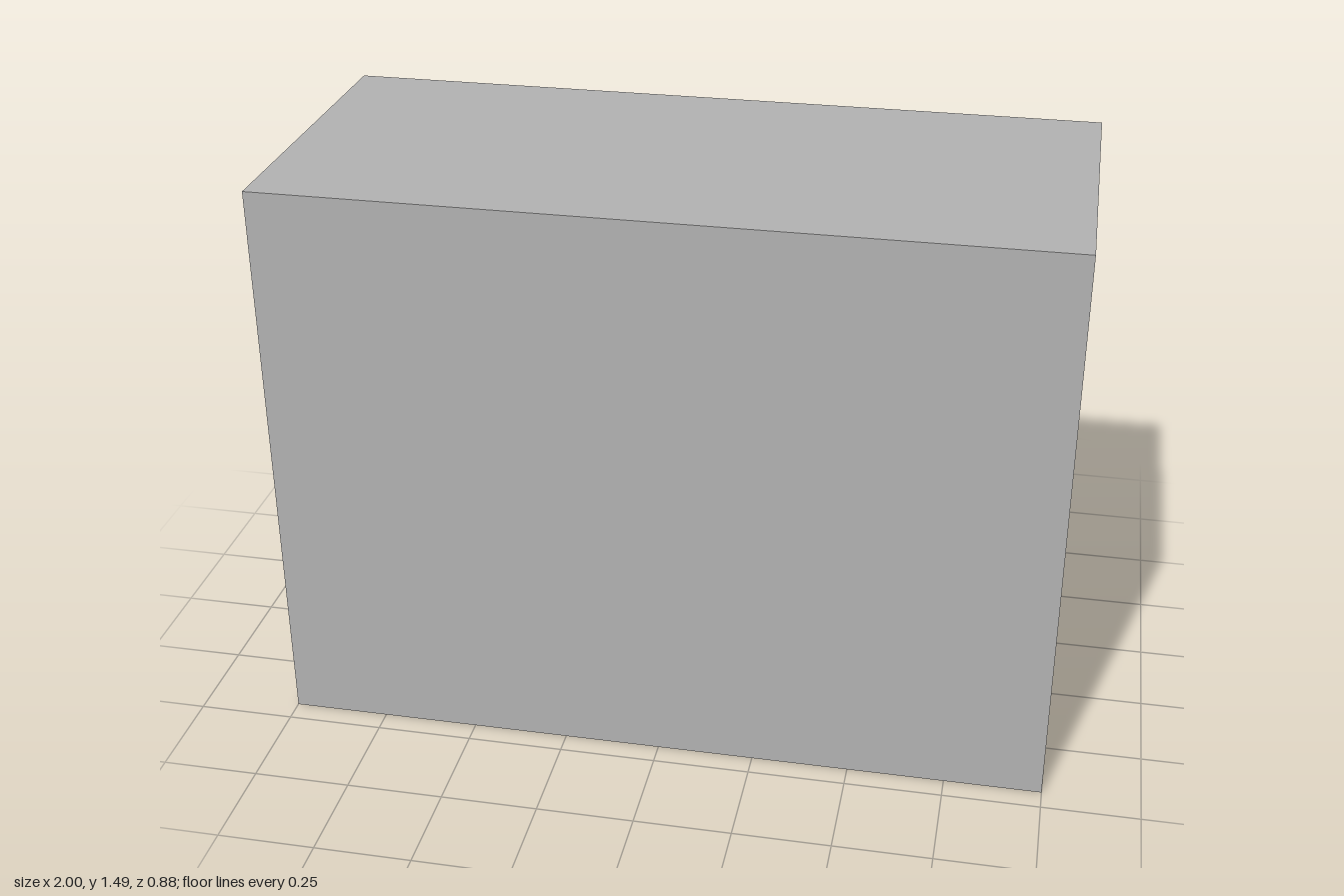
import * as THREE from 'three';

const W = 2, H = 1.49, D = 0.88;   // overall size
const SILL = 0.635;                // height of counter and window sills

export function createModel() {
  const group = new THREE.Group();
  const grey = new THREE.MeshStandardMaterial({ color: 0xb2b2b2, side: THREE.DoubleSide });
  grey.name = 'lightGrey';

  const add = (name, geometry, x, y, z) => {
    const mesh = new THREE.Mesh(geometry, grey);
    mesh.name = name;
    mesh.position.set(x, y, z);
    group.add(mesh);
  };

  // Horizontal sheets
  const sheet = (up) => new THREE.PlaneGeometry(W, D).rotateX(up ? -Math.PI / 2 : Math.PI / 2);
  add('roof', sheet(true), 0, H, 0);
  add('floor', sheet(false), 0, 0, 0);

  // Full-height front wall, and a low rear wall below the open counter
  add('frontWall', new THREE.PlaneGeometry(W, H), 0, H / 2, D / 2);
  add('rearWall', new THREE.PlaneGeometry(W, SILL).rotateY(Math.PI), 0, SILL / 2, -D / 2);

  // Side wall drawn as (z, y): rear edge slightly recessed beside the opening
  const b = -D / 2, r = b + 0.006;
  const outline = [[b, 0], [D / 2, 0], [D / 2, H], [b, H], [b, 1.425], [r, 1.415], [r, SILL], [b, SILL]];
  const hole = [[-0.32, SILL], [-0.32, 1.4], [0.19, 1.4], [0.19, SILL]];
  const points = (list) => list.map(([z, y]) => new THREE.Vector2(z, y));
  const side = new THREE.Shape(points(outline));
  side.holes.push(new THREE.Path(points(hole)));
  const sideGeometry = new THREE.ShapeGeometry(side).rotateY(-Math.PI / 2);

  // The same profile turned over gives an outward face on the left
  const leftGeometry = new THREE.ShapeGeometry(side).rotateY(Math.PI / 2).scale(1, 1, -1);
  const index = leftGeometry.index.array;
  for (let i = 0; i < index.length; i += 3) [index[i + 1], index[i + 2]] = [index[i + 2], index[i + 1]];
  leftGeometry.computeVertexNormals();
  add('rightWall', sideGeometry, -W / 2, 0, 0);
  add('leftWall', leftGeometry, W / 2, 0, 0);

  return group;
}
